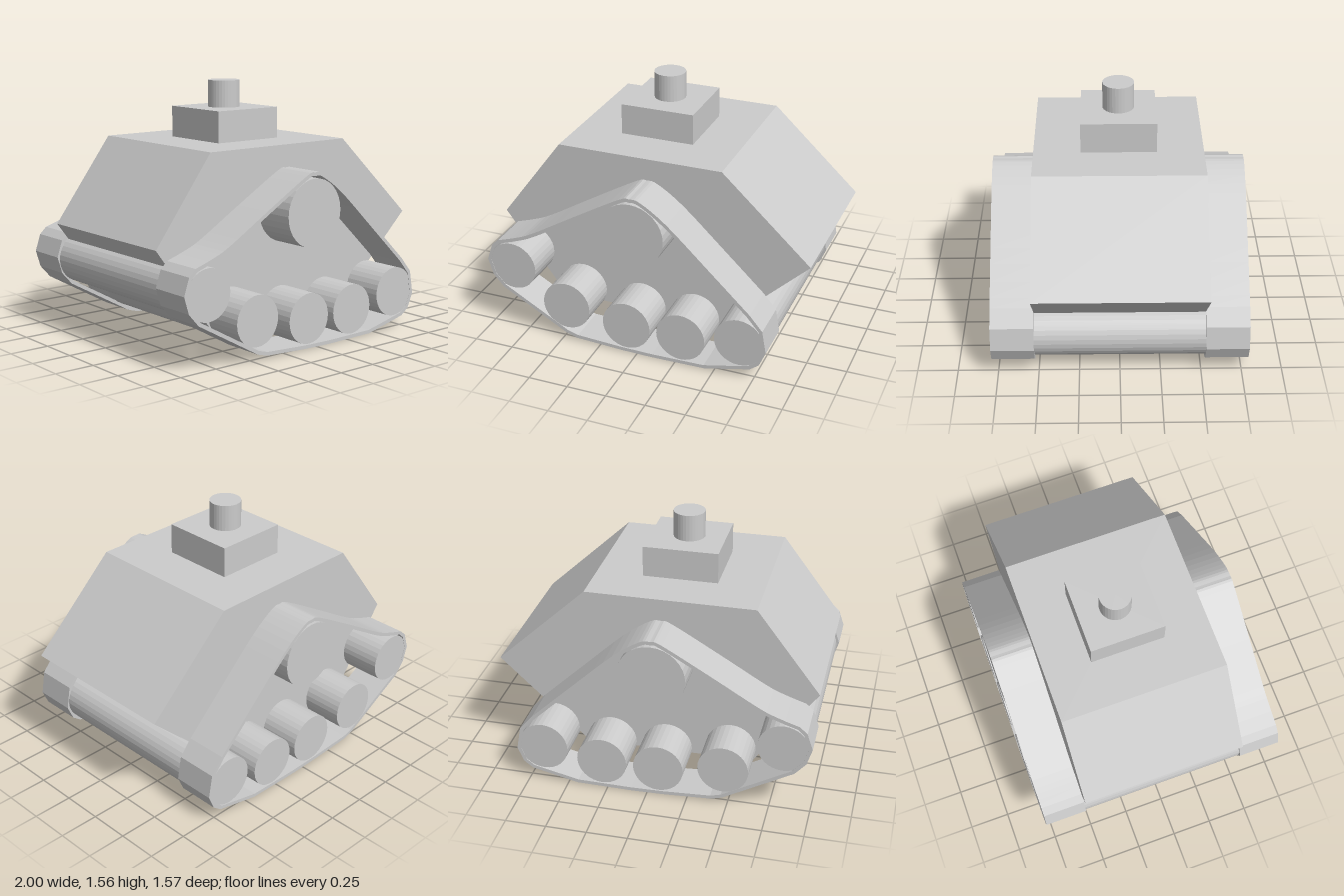
import * as THREE from 'three';

const material = new THREE.MeshStandardMaterial({ color: 0xcccccc, flatShading: true });
const HULL_HALF = 0.523, TRACK_HALF = 0.787, ROLLER_HALF = 0.785;

function addMesh(group, name, geometry, x = 0, y = 0, z = 0) {
  const mesh = new THREE.Mesh(geometry, material);
  mesh.name = name;
  mesh.position.set(x, y, z);
  group.add(mesh);
  return mesh;
}

const points = (list) => list.map(([x, y]) => new THREE.Vector2(x, y));

// Moves a clockwise loop inwards by a constant thickness
function inset(loop, thickness) {
  const n = loop.length;
  return loop.map((p, i) => {
    const a = p.clone().sub(loop[(i + n - 1) % n]).normalize();
    const b = loop[(i + 1) % n].clone().sub(p).normalize();
    const normal = new THREE.Vector2(a.y + b.y, -a.x - b.x).normalize();
    const cosine = normal.x * a.y - normal.y * a.x;
    return p.clone().addScaledVector(normal, thickness / cosine);
  });
}

export function createModel() {
  const model = new THREE.Group();
  model.name = 'trackedVehicle';

  // Angular six-sided hull
  const hullShape = new THREE.Shape(points([
    [-0.605, 0.155], [0.443, 0.155], [1, 0.68], [0.443, 1.202], [-0.605, 1.202], [-0.997, 0.68],
  ]));
  addMesh(model, 'hull', new THREE.ExtrudeGeometry(hullShape, { depth: HULL_HALF * 2, bevelEnabled: false }), 0, 0, -HULL_HALF);

  // Turret block and hatch cylinder
  addMesh(model, 'turret', new THREE.BoxGeometry(0.467, 0.195, 0.467), -0.081, 1.298, 0);
  addMesh(model, 'hatch', new THREE.CylinderGeometry(0.098, 0.098, 0.17, 32), -0.086, 1.478, 0);

  // Rollers running across the full width: x, y, radius
  const rollers = [
    [-0.828, 0.448, 0.155], [-0.469, 0.239, 0.155], [-0.069, 0.186, 0.155],
    [0.285, 0.186, 0.155], [0.656, 0.239, 0.155], [-0.03, 0.818, 0.208],
  ];
  rollers.forEach(([x, y, r], i) => {
    const name = i === 5 ? 'driveRoller' : `roadRoller${i + 1}`;
    addMesh(model, name, new THREE.CylinderGeometry(r, r, ROLLER_HALF * 2, 32), x, y).rotation.x = Math.PI / 2;
  });

  // Thin track belts, clockwise: curved upper run, then faceted lower run
  const upperRun = new THREE.SplineCurve(points([
    [-0.92, 0.612], [-0.8, 0.652], [-0.68, 0.705], [-0.4, 0.872], [-0.1, 1.046],
    [-0.03, 1.063], [0.04, 1.05], [0.2, 0.938], [0.45, 0.703], [0.72, 0.445],
  ])).getPoints(36);
  const lowerRun = points([
    [0.8, 0.35], [0.825, 0.205], [0.785, 0.113], [0.73, 0.071], [0.6, 0.041],
    [0.44, 0.005], [0.1, 0], [-0.1, 0.004], [-0.4, 0.02], [-0.47, 0.04],
    [-0.9, 0.283], [-0.968, 0.36], [-1, 0.465], [-0.965, 0.57],
  ]);
  const outer = [...upperRun, ...lowerRun];
  const beltShape = new THREE.Shape(outer);
  beltShape.holes.push(new THREE.Path(inset(outer, 0.022).reverse()));
  const belt = new THREE.ExtrudeGeometry(beltShape, { depth: TRACK_HALF - HULL_HALF, bevelEnabled: false });
  addMesh(model, 'frontTrack', belt, 0, 0, HULL_HALF);
  addMesh(model, 'backTrack', belt, 0, 0, -TRACK_HALF);

  return model;
}
